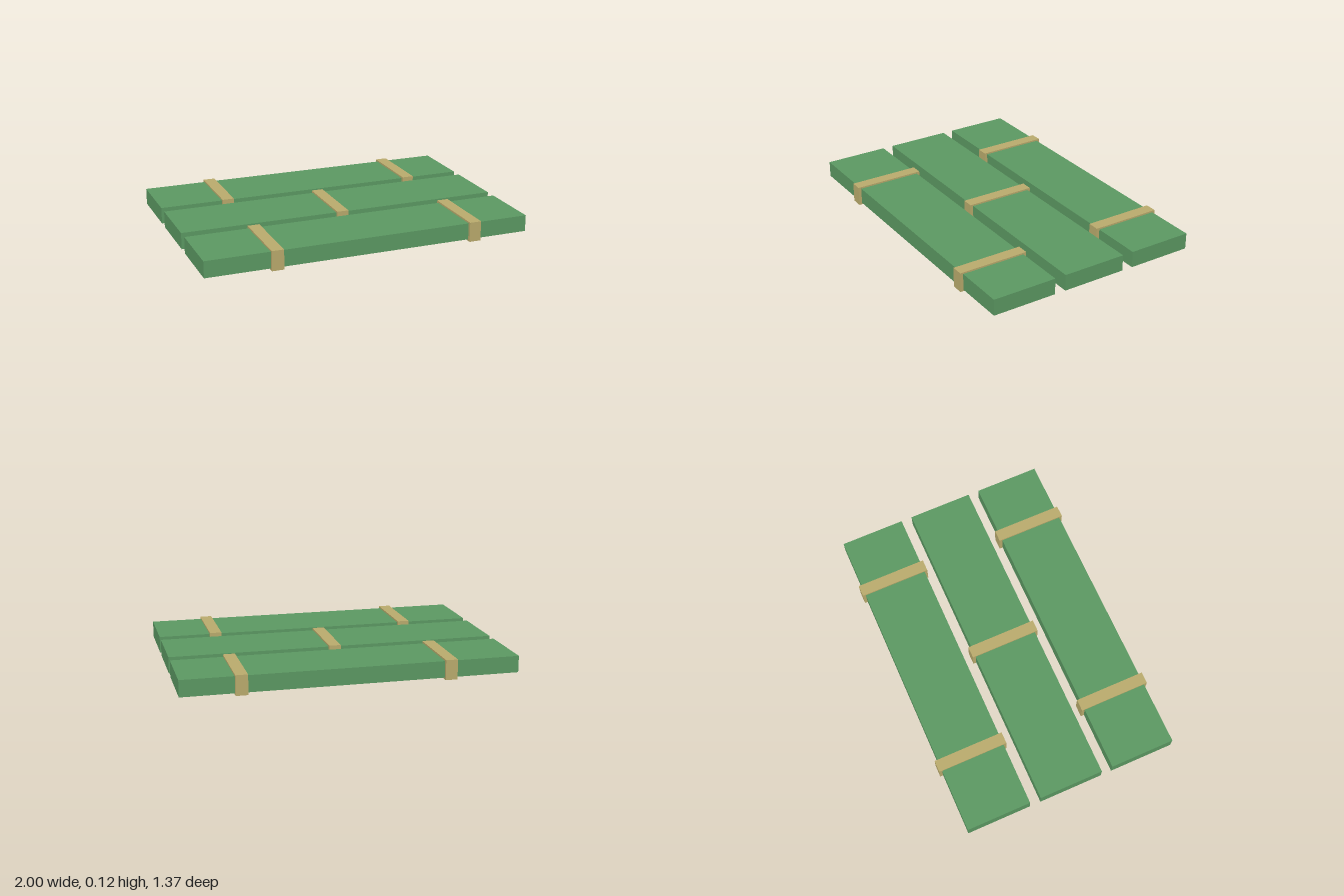
import * as THREE from 'three';

export function createModel() {
  const group = new THREE.Group();
  const green = new THREE.MeshStandardMaterial({ color: 0x5b9862 });
  const tan = new THREE.MeshStandardMaterial({ color: 0xb9aa6c });

  const addBox = (name, material, size, position) => {
    const mesh = new THREE.Mesh(new THREE.BoxGeometry(...size), material);
    mesh.name = name;
    mesh.position.set(...position);
    group.add(mesh);
  };

  // Three planks side by side, each wrapped by straps at the given x positions
  const rows = [
    { name: 'back', z: -0.467, straps: [-0.579, 0.651] },
    { name: 'middle', z: 0, straps: [-0.001] },
    { name: 'front', z: 0.467, straps: [-0.579, 0.651] },
  ];
  for (const { name, z, straps } of rows) {
    addBox(`${name}Plank`, green, [2, 0.1, 0.398], [0, 0.06, z]);
    straps.forEach((x, i) =>
      addBox(`${name}Strap${i + 1}`, tan, [0.072, 0.12, 0.435], [x, 0.06, z]));
  }
  return group;
}
